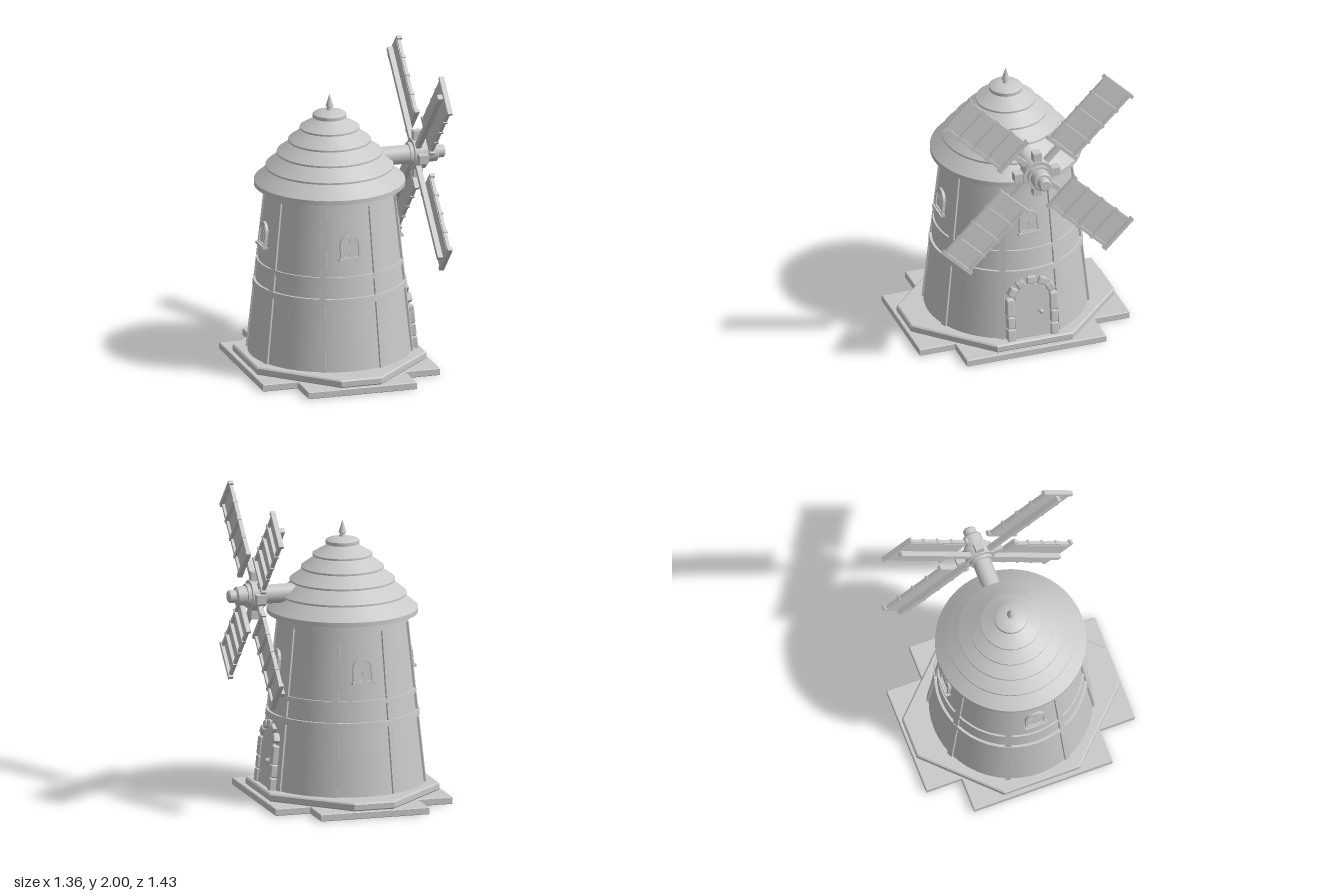
import * as THREE from 'three';
import { toCreasedNormals } from 'three/addons/utils/BufferGeometryUtils.js';
import { RoundedBoxGeometry } from 'three/addons/geometries/RoundedBoxGeometry.js';

const stone = new THREE.MeshStandardMaterial({ color: 0xc8c8c8 });
stone.name = 'plain grey';

const CX = -0.087; // tower axis
const Y0 = 0.09, Y1 = 1.2, R0 = 0.527, R1 = 0.406;
const wallR = y => R0 + (R1 - R0) * (y - Y0) / (Y1 - Y0);
const TILT = Math.atan((R0 - R1) / (Y1 - Y0));

function add(parent, name, geo, x = 0, y = 0, z = 0) {
  const m = new THREE.Mesh(geo, stone);
  m.name = name;
  m.position.set(x, y, z);
  parent.add(m);
  return m;
}
const box = (w, h, d) => new THREE.BoxGeometry(w, h, d);
const lathe = (pts, seg) => toCreasedNormals(
  new THREE.LatheGeometry(pts.map(p => new THREE.Vector2(...p)), seg), 0.5);

// group lying on the sloped wall: z points outwards, y runs up the wall
function onWall(parent, name, angle, y) {
  const g = new THREE.Group(), r = wallR(y);
  g.name = name;
  g.rotation.order = 'YXZ';
  g.rotation.set(-TILT, angle, 0);
  g.position.set(r * Math.sin(angle), y, r * Math.cos(angle));
  parent.add(g);
  return g;
}

// arched outline standing on y = base
function arch(Type, hw, base, spring) {
  const s = new Type();
  s.moveTo(-hw, base);
  s.lineTo(hw, base);
  s.lineTo(hw, spring);
  s.absarc(0, spring, hw, 0, Math.PI, false);
  s.closePath();
  return s;
}
const extrude = (shape, depth) =>
  new THREE.ExtrudeGeometry(shape, { depth, bevelEnabled: false, curveSegments: 16 });

// flat plate with chamfered edges
function plate(parent, name, shape, y, h, b) {
  const geo = new THREE.ExtrudeGeometry(shape, {
    depth: h - 2 * b, bevelThickness: b, bevelSize: b, bevelOffset: -b, bevelSegments: 1 });
  geo.rotateX(-Math.PI / 2);
  add(parent, name, geo, 0, y + b, 0);
}
const points = pts => pts.map(p => new THREE.Vector2(...p));

// cross outline, moved inwards by d
function cross(d) {
  const xl = -0.68 + d, xr = 0.507 - d, il = -0.45 + d, ir = 0.277 - d, zi = 0.473 - d, zo = 0.713 - d;
  return points([[xl, -zi], [il, -zi], [il, -zo], [ir, -zo], [ir, -zi], [xr, -zi],
    [xr, zi], [ir, zi], [ir, zo], [il, zo], [il, zi], [xl, zi]]);
}

function makeWindow(parent, angle) {
  const g = onWall(parent, 'window', angle, 0.835);
  const outer = arch(THREE.Shape, 0.067, 0, 0.085);
  outer.holes.push(arch(THREE.Path, 0.053, 0.01, 0.085));
  add(g, 'windowFrame', extrude(outer, 0.04), 0, 0, -0.025);
  add(g, 'windowPane', extrude(arch(THREE.Shape, 0.055, 0.005, 0.085), 0.008), 0, 0, -0.004);
  add(g, 'mullion', box(0.009, 0.136, 0.006), 0, 0.071, 0.004);
  add(g, 'transom', box(0.108, 0.009, 0.006), 0, 0.078, 0.004);
  add(g, 'windowSill', box(0.152, 0.016, 0.055), 0, -0.006, 0);
}

function makeDoor(parent) {
  const g = onWall(parent, 'door', Math.PI / 2, 0.09);
  const spring = 0.262;
  add(g, 'doorPanel', extrude(arch(THREE.Shape, 0.118, 0, spring), 0.03), 0, 0, -0.026);
  add(g, 'doorKnob', new THREE.SphereGeometry(0.015, 16, 10), 0.058, 0.18, 0.016);
  add(g, 'knobPlate', new THREE.CylinderGeometry(0.02, 0.02, 0.008, 16).rotateX(Math.PI / 2), 0.058, 0.18, 0.005);
  for (const y of [0.08, 0.29]) add(g, 'hinge', box(0.03, 0.012, 0.008), -0.095, y, 0.005);
  // jamb stones and arch stones
  for (const s of [-1, 1]) for (let i = 0; i < 3; i++) {
    const w = i % 2 ? 0.048 : 0.054;
    add(g, 'jambStone', new RoundedBoxGeometry(w, 0.084, 0.06, 2, 0.009),
      s * 0.146, 0.044 + i * 0.087, -0.012);
  }
  for (let i = 0; i < 7; i++) {
    const a = i * Math.PI / 6;
    const m = add(g, 'archStone', new RoundedBoxGeometry(0.052, i % 2 ? 0.06 : 0.054, 0.06, 2, 0.009),
      0.146 * Math.cos(a), spring + 0.008 + 0.14 * Math.sin(a), -0.012);
    m.rotation.z = a;
  }
}

function makeSail(parent, angle) {
  const g = new THREE.Group();
  g.name = 'sail';
  g.rotation.x = angle;
  parent.add(g);
  add(g, 'spar', box(0.034, 0.715, 0.034), 0.485, 0.4105, 0);
  add(g, 'sailPanel', box(0.009, 0.54, 0.22), 0.509, 0.503, 0);
  for (const s of [-1, 1]) add(g, 'sailRail', box(0.022, 0.56, 0.02), 0.519, 0.502, s * 0.112);
  for (let i = 0; i < 5; i++) {
    const end = i === 0 || i === 4;
    add(g, 'sailBar', box(end ? 0.032 : 0.028, end ? 0.024 : 0.018, end ? 0.274 : 0.256),
      0.521, 0.234 + i * 0.1348, 0);
  }
}

export function createModel() {
  const root = new THREE.Group();
  root.name = 'windmill';

  // cross-shaped footing, hollow underneath, and octagonal plinth
  const rim = new THREE.Shape(cross(0));
  rim.holes.push(new THREE.Path(cross(0.014)));
  plate(root, 'footingRim', rim, 0, 0.046, 0.004);
  plate(root, 'footingTop', new THREE.Shape(cross(0.004)), 0.036, 0.0102, 0.004);
  plate(root, 'plinth', new THREE.Shape(points([
    [-0.658, -0.257], [-0.222, -0.693], [0.047, -0.693], [0.482, -0.257],
    [0.482, 0.257], [0.047, 0.693], [-0.222, 0.693], [-0.658, 0.257]])), 0.046, 0.052, 0.009);

  const tower = new THREE.Group();
  tower.name = 'tower';
  tower.position.x = CX;
  root.add(tower);
  add(tower, 'wall', new THREE.CylinderGeometry(R1, R0, Y1 - Y0, 48), 0, (Y0 + Y1) / 2, 0);

  // horizontal bands
  for (const [a, b, t] of [[0.535, 0.575, 0.017], [0.685, 0.715, 0.012], [1.155, 1.19, 0.013]])
    add(tower, 'band', lathe([
      [wallR(a) - 0.02, a], [wallR(a) + t, a], [wallR(b) + t, b], [wallR(b) - 0.02, b]], 48));

  // upright posts
  for (let i = 0; i < 8; i++) {
    const g = onWall(tower, 'post', (i + 0.5) * Math.PI / 4, (Y0 + Y1) / 2);
    add(g, 'postBeam', box(0.04, 1.1, 0.034), 0, 0, -0.005);
  }

  for (let i = 0; i < 4; i++) makeWindow(tower, i * Math.PI / 2);
  makeDoor(tower);

  // stepped roof
  const rims = [[0.485, 1.205], [0.41, 1.32], [0.338, 1.41], [0.265, 1.492], [0.192, 1.575], [0.108, 1.65]];
  const profile = [[0.38, 1.205]];
  rims.forEach(([r, y], i) => {
    const next = rims[i + 1];
    const lip = i === 0 ? 0.03 : 0.012;
    if (next) profile.push([r, y], [r, y + lip], [next[0] - 0.025, next[1]]);
    else profile.push([r, y], [r, y + 0.022], [r - 0.01, y + 0.03], [0.05, y + 0.042], [0, y + 0.05]);
  });
  add(tower, 'roof', lathe(profile, 64));
  add(tower, 'finial', lathe([
    [0.022, 1.69], [0.016, 1.715], [0.025, 1.722], [0.02, 1.74], [0, 1.805]], 24));

  // axle, hub and sails turning about x
  const rotor = new THREE.Group();
  rotor.name = 'rotor';
  rotor.position.y = 1.349;
  root.add(rotor);
  const disc = (name, r, x0, x1, r2 = r) => add(rotor, name,
    new THREE.CylinderGeometry(r2, r, x1 - x0, 32).rotateZ(-Math.PI / 2), (x0 + x1) / 2, 0, 0);
  disc('axle', 0.061, 0.1, 0.445);
  disc('rearFlange', 0.076, 0.437, 0.462);
  disc('hub', 0.1, 0.46, 0.54);
  disc('frontFlange', 0.076, 0.54, 0.563);
  disc('hubCap', 0.062, 0.563, 0.622);
  disc('hubCapRim', 0.062, 0.622, 0.63, 0.054);
  disc('axleTip', 0.041, 0.63, 0.672);
  disc('axleTipRim', 0.041, 0.672, 0.68, 0.033);
  for (let i = 0; i < 4; i++) {
    const peg = new THREE.Group();
    peg.name = 'hubPeg';
    peg.rotation.x = i * Math.PI / 2;
    rotor.add(peg);
    add(peg, 'pegBlock', box(0.06, 0.062, 0.054), 0.5, 0.124, 0);
    makeSail(rotor, (i + 0.5) * Math.PI / 2);
  }
  return root;
}
